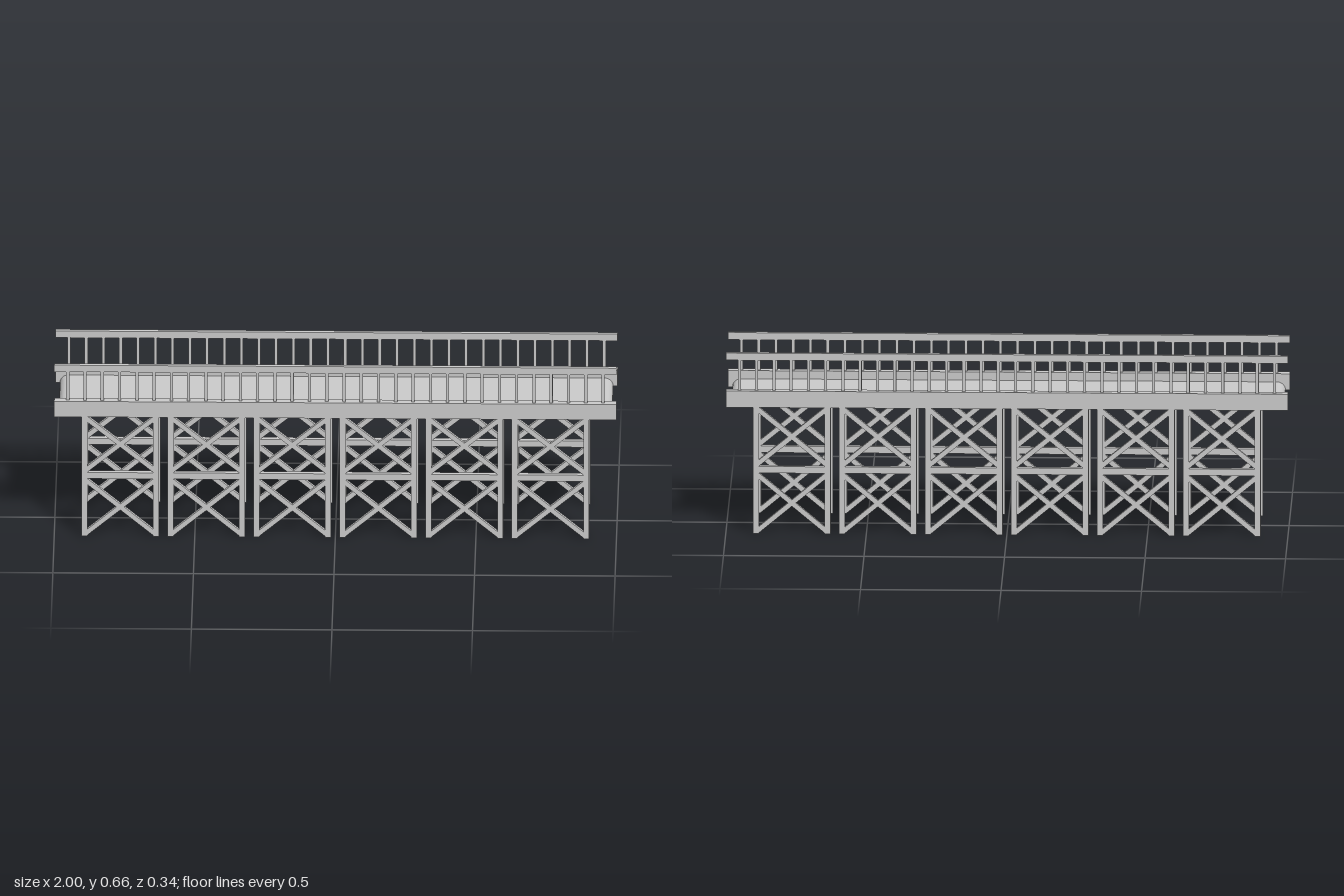
import * as THREE from 'three';

const material = new THREE.MeshStandardMaterial({ color: 0xcccccc });
const SIDE_Z = 0.154; // centre line of each bridge side

function addBox(parent, name, size, pos) {
  const mesh = new THREE.Mesh(new THREE.BoxGeometry(...size), material);
  mesh.position.set(...pos);
  mesh.name = name;
  parent.add(mesh);
}

// Extrudes an outline in x, y, centred on z = 0
function addExtrusion(parent, name, shape, depth) {
  const geometry = new THREE.ExtrudeGeometry(shape, { depth, bevelEnabled: false, curveSegments: 8 });
  geometry.translate(0, 0, -depth / 2);
  const mesh = new THREE.Mesh(geometry, material);
  mesh.name = name;
  parent.add(mesh);
}

// Diagonal with vertical end cuts that sit flush against the posts
function addBrace(parent, halfWidth, bottom, top, rising) {
  const t = 0.023, s = rising ? 1 : -1;
  const points = [
    [-halfWidth * s, bottom], [halfWidth * s, top - t],
    [halfWidth * s, top], [-halfWidth * s, bottom + t],
  ].map(([x, y]) => new THREE.Vector2(x, y));
  addExtrusion(parent, 'crossBrace', new THREE.Shape(points), 0.015);
}

// One trestle frame: two posts, a middle beam and two crossed panels
function createTrestle() {
  const frame = new THREE.Group();
  frame.name = 'trestleFrame';
  const half = 0.138, post = 0.021, height = 0.464;
  for (const s of [-1, 1]) {
    addBox(frame, 'trestlePost', [post, height, 0.024], [s * (half - post / 2), height / 2, 0]);
  }
  addBox(frame, 'middleBeam', [2 * half - post, 0.024, 0.02], [0, 0.233, 0]);
  for (const [bottom, top] of [[0, 0.222], [0.244, 0.463]]) {
    for (const rising of [true, false]) addBrace(frame, half - post + 0.002, bottom, top, rising);
  }
  return frame;
}

// One long side: girder, railing and six trestle frames
function createSide(name) {
  const side = new THREE.Group();
  side.name = name;
  addBox(side, 'girder', [2, 0.06, 0.031], [0, 0.492, 0]);
  addBox(side, 'handrail', [2, 0.026, 0.016], [0, 0.646, 0]);
  for (let i = 0; i < 32; i++) {
    addBox(side, 'baluster', [0.011, 0.115, 0.009], [-0.952 + i * 1.904 / 31, 0.577, 0]);
  }
  for (let i = 0; i < 6; i++) {
    const frame = createTrestle();
    frame.position.x = (i - 2.5) * 0.306;
    side.add(frame);
  }
  return side;
}

export function createModel() {
  const bridge = new THREE.Group();
  bridge.name = 'trestleBridge';

  // Deck with rounded upper ends
  const r = 0.03, end = 0.984, low = 0.462;
  const deck = new THREE.Shape();
  deck.moveTo(-end, low);
  deck.lineTo(end, low);
  deck.absarc(end - r, low, r, 0, Math.PI / 2, false);
  deck.lineTo(-end + r, low + r);
  deck.absarc(-end + r, low, r, Math.PI / 2, Math.PI, false);
  addExtrusion(bridge, 'deck', deck, 0.28);

  for (const s of [1, -1]) {
    const side = createSide(s > 0 ? 'frontSide' : 'backSide');
    side.position.z = s * SIDE_Z;
    bridge.add(side);
  }
  return bridge;
}
